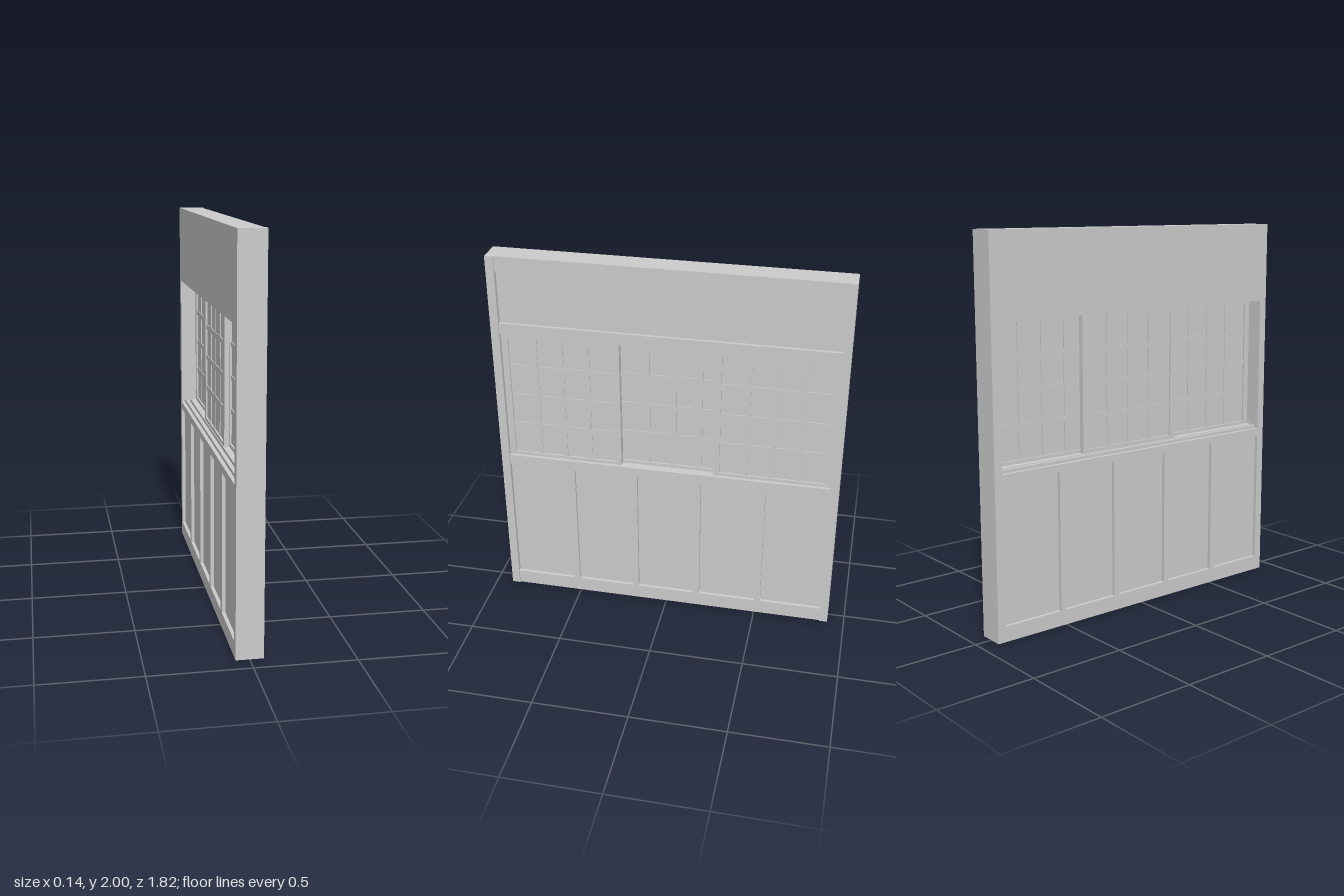
import * as THREE from 'three';

const material = new THREE.MeshStandardMaterial({ color: 0xcccccc, flatShading: true });

// Box given by its limits on each axis
function slab(parent, name, x0, x1, y0, y1, z0, z1) {
  const mesh = new THREE.Mesh(new THREE.BoxGeometry(x1 - x0, y1 - y0, z1 - z0), material);
  mesh.position.set((x0 + x1) / 2, (y0 + y1) / 2, (z0 + z1) / 2);
  mesh.name = name;
  parent.add(mesh);
  return mesh;
}

// Sliding sash: border frame, thin pane and a 4 x 4 lattice
function makeSash(name, x, zc) {
  const sash = new THREE.Group();
  sash.name = name;
  const half = 0.31, stile = 0.034, y0 = 0.862, y1 = 1.577, rail = 0.018;
  const t = 0.0135, bar = 0.013, cols = 4, rows = 4;
  const gz = half - stile, gy0 = y0 + rail, gy1 = y1 - rail;
  for (const s of [-1, 1]) {
    const a = s * half, b = s * gz;
    slab(sash, 'sashStile', -t, t, y0, y1, Math.min(a, b), Math.max(a, b));
  }
  slab(sash, 'sashBottomRail', -t, t, y0, gy0, -gz, gz);
  slab(sash, 'sashTopRail', -t, t, gy1, y1, -gz, gz);
  slab(sash, 'pane', -0.004, 0.004, gy0, gy1, -gz, gz);
  for (let i = 1; i < cols; i++) {
    const z = -gz + (2 * gz * i) / cols;
    slab(sash, 'verticalBar', -0.009, 0.009, gy0, gy1, z - bar, z + bar);
  }
  for (let i = 1; i < rows; i++) {
    const y = gy0 + ((gy1 - gy0) * i) / rows;
    slab(sash, 'horizontalBar', -0.0088, 0.0088, y - bar, y + bar, -gz, gz);
  }
  sash.position.set(x, 0, zc);
  return sash;
}

export function createModel() {
  const model = new THREE.Group();
  model.name = 'slidingWindowWall';
  const back = -0.068, front = 0.062, inner = 0.866;

  // Side posts, slightly proud of the rails
  slab(model, 'rightPost', back, 0.068, 0, 2, -0.91, -inner);
  slab(model, 'leftPost', back, 0.068, 0, 2, inner, 0.91);

  // Horizontal rails
  slab(model, 'bottomRail', back, front, 0, 0.08, -inner, inner);
  slab(model, 'sillRail', back, front, 0.805, 0.845, -inner, inner);
  slab(model, 'lintelRail', back, front, 1.577, 1.64, -inner, inner);
  slab(model, 'topRail', back, front, 1.92, 2, -inner, inner);

  // Sill top with sliding tracks
  slab(model, 'frontSill', -0.016, front, 0.845, 0.862, -inner, inner);
  slab(model, 'backSillLip', -0.048, -0.03, 0.845, 0.862, -inner, inner);

  // Header panel: recessed in front, flush at the back
  slab(model, 'headerPanel', back, 0.044, 1.64, 1.92, -inner, inner);

  // Lower panels divided by mullions
  slab(model, 'lowerPanel', -0.05, 0.044, 0.08, 0.805, -inner, inner);
  for (const z of [-0.515, -0.17, 0.175, 0.52]) {
    slab(model, 'frontMullion', 0.044, front, 0.08, 0.805, z - 0.016, z + 0.016);
    slab(model, 'backMullion', back, -0.05, 0.08, 0.805, z - 0.016, z + 0.016);
  }

  // Two outer sashes on the front track, one on the track behind
  model.add(makeSash('leftSash', 0.031, 0.556));
  model.add(makeSash('rightSash', 0.031, -0.556));
  model.add(makeSash('middleSash', 0.002, -0.03));
  return model;
}
